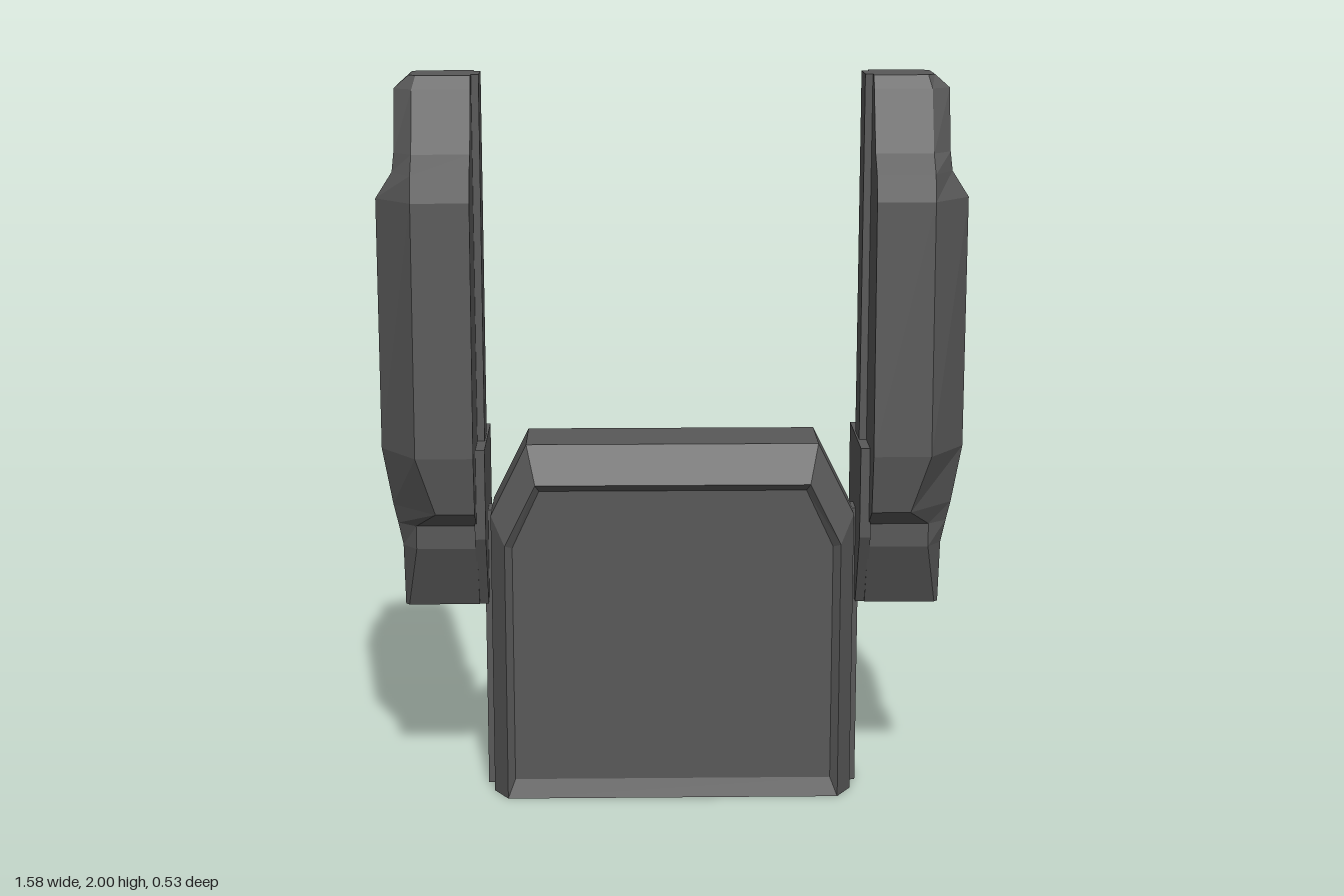
import * as THREE from 'three';

// Skins a stack of convex loops (each counter-clockwise seen from the far end) and caps both ends.
function loft(loops) {
  const pos = [];
  const tri = (a, b, c) => pos.push(...a, ...b, ...c);
  const n = loops[0].length;
  for (let k = 0; k < loops.length - 1; k++) {
    const a = loops[k], b = loops[k + 1];
    for (let i = 0; i < n; i++) {
      const j = (i + 1) % n;
      tri(a[i], a[j], b[j]);
      tri(a[i], b[j], b[i]);
    }
  }
  const first = loops[0], last = loops[loops.length - 1];
  for (let i = 1; i < n - 1; i++) {
    tri(first[0], first[i + 1], first[i]);
    tri(last[0], last[i], last[i + 1]);
  }
  const g = new THREE.BufferGeometry();
  g.setAttribute('position', new THREE.Float32BufferAttribute(pos, 3));
  g.computeVertexNormals();
  return g;
}

// Flips loops to the other side in x, keeping faces outward.
const mirrored = (loops, s) => s > 0 ? loops
  : loops.map(l => l.map(([x, y, z]) => [-x, y, z]).reverse());

// Rectangular cross-section at height y.
const rect = (y, x0, x1, z) => [[x0, y, z], [x1, y, z], [x1, y, -z], [x0, y, -z]];

export function createModel() {
  const model = new THREE.Group();
  const grey = new THREE.MeshStandardMaterial({ color: 0x585858 });
  grey.name = 'dark grey';
  const add = (parent, name, geo) => {
    const m = new THREE.Mesh(geo, grey);
    m.name = name;
    parent.add(m);
  };

  // Body: bevelled slab with a sunken panel front and back.
  // z, bottom y, half width, shoulder y, top half width, top y
  const half = [
    [0.1, 0, 0.5, 0.8, 0.4, 1.0],
    [0.165, 0, 0.46, 0.73, 0.375, 0.9],
    [0.145, 0.05, 0.44, 0.72, 0.365, 0.88],
  ];
  const back = half.map(([z, ...r]) => [-z, ...r]).reverse();
  add(model, 'body', loft([...back, ...half].map(([z, y0, w, ys, t, y1]) => [
    [-w, y0, z], [w, y0, z], [w, ys, z], [t, y1, z], [-t, y1, z], [-w, ys, z],
  ])));

  // Arm: six-sided sections from bottom to top.
  // y, half depth, shoulder x, outer x, outer half depth
  const sections = [
    [0.54, 0.075, 0.73, 0.74, 0.065],
    [0.72, 0.15, 0.70, 0.74, 0.1],
    [0.785, 0.15, 0.70, 0.752, 0.11],
    [0.84, 0.24, 0.64, 0.763, 0.12],
    [1.0, 0.265, 0.69, 0.79, 0.13],
    [1.68, 0.235, 0.69, 0.79, 0.125],
    [1.75, 0.215, 0.69, 0.745, 0.125],
    [1.8, 0.165, 0.69, 0.74, 0.115],
    [1.965, 0.1, 0.69, 0.74, 0.065],
    [2.0, 0.085, 0.68, 0.70, 0.06],
  ];
  const inner = 0.535;
  const armLoops = sections.map(([y, d, xm, xo, zo]) => [
    [inner, y, d], [xm, y, d], [xo, y, zo],
    [xo, y, -zo], [xm, y, -d], [inner, y, -d],
  ]);

  for (const s of [1, -1]) {
    const side = new THREE.Group();
    side.name = s > 0 ? 'leftArm' : 'rightArm';
    model.add(side);
    add(side, 'armShell', loft(mirrored(armLoops, s)));
    // Raised rib up the inner face
    add(side, 'innerRib', loft(mirrored([
      rect(0.8, 0.515, 0.54, 0.055), rect(2.0, 0.515, 0.54, 0.055)], s)));
    // Plate joining the arm to the body
    add(side, 'hingePlate', loft(mirrored([
      rect(0.54, 0.51, 0.54, 0.07), rect(0.75, 0.51, 0.54, 0.165),
      rect(1.0, 0.51, 0.54, 0.165)], s)));
    // Rail on the body's edge
    add(side, 'sideRail', loft(mirrored([
      rect(0, 0.49, 0.52, 0.035), rect(0.8, 0.49, 0.52, 0.035)], s)));
  }
  return model;
}
